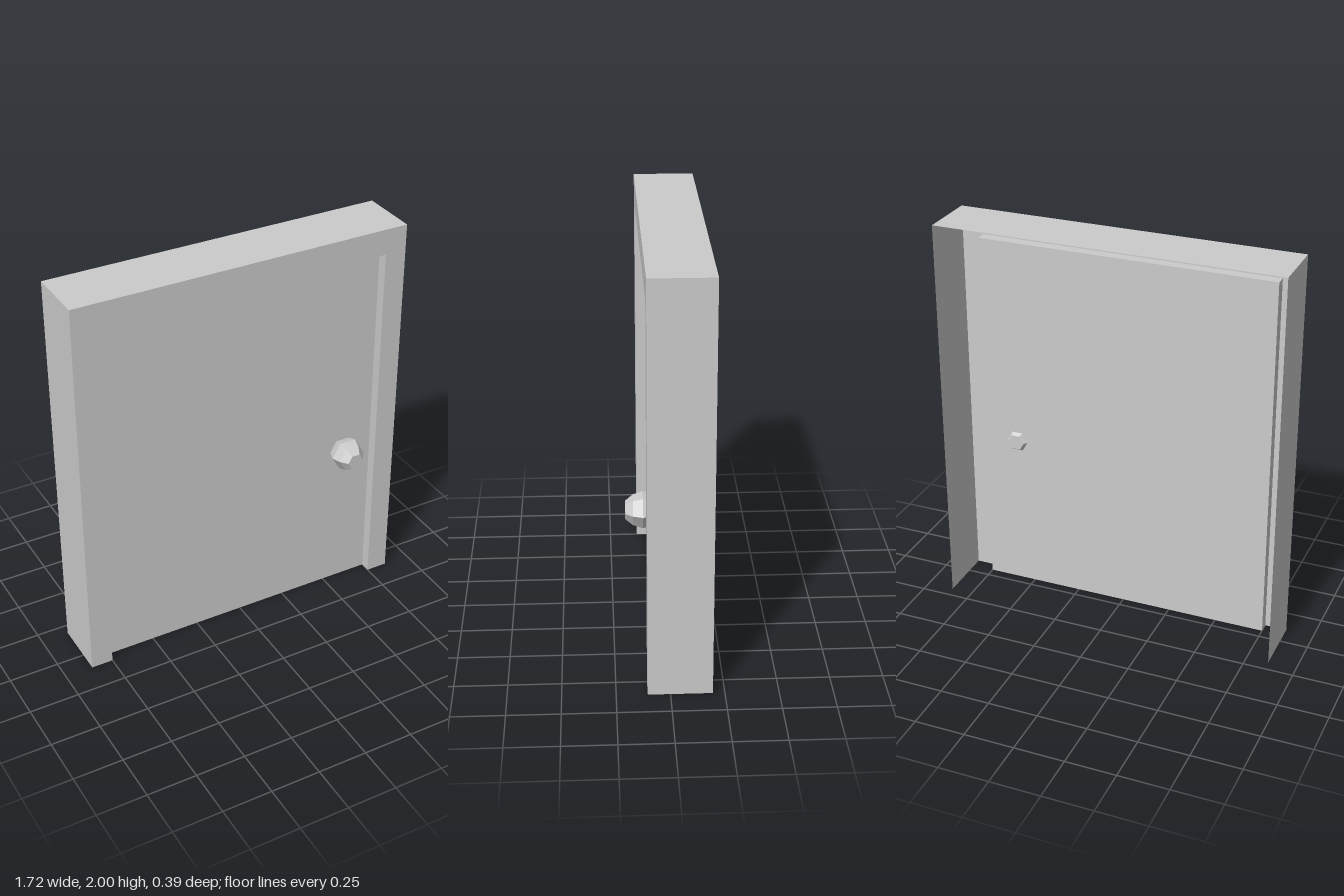
import * as THREE from 'three';

const W = 0.86, H = 2, FRONT = 0.105, BACK = -0.195; // outer casing
const w = 0.75, h = 1.87, DOOR_Z = 0.052;            // door opening and recess

const sheet = new THREE.MeshStandardMaterial({ color: 0xcccccc, side: THREE.DoubleSide });
const faceted = new THREE.MeshStandardMaterial({ color: 0xcccccc, flatShading: true });

function add(group, name, geometry, material = sheet) {
  const mesh = new THREE.Mesh(geometry, material);
  mesh.name = name;
  group.add(mesh);
  return mesh;
}

// Two sides and a top, as thin sheets running from z0 (rear) to z1 (front);
// facing = 1 turns them outward, -1 inward
function addHood(group, name, halfWidth, height, z0, z1, facing) {
  const depth = z1 - z0, z = (z0 + z1) / 2;
  for (const s of [-1, 1]) {
    const side = add(group, name + (s > 0 ? 'Left' : 'Right'), new THREE.PlaneGeometry(depth, height));
    side.rotation.y = s * facing * Math.PI / 2;
    side.position.set(s * halfWidth, height / 2, z);
  }
  const top = add(group, name + 'Top', new THREE.PlaneGeometry(2 * halfWidth, depth));
  top.rotation.x = -facing * Math.PI / 2;
  top.position.set(0, height, z);
}

export function createModel() {
  const model = new THREE.Group();
  model.name = 'door';

  // Frame: flat surround, outer casing open at the back, and shallow reveal
  const frame = new THREE.Group();
  frame.name = 'frame';
  const outline = new THREE.Shape([
    [-W, 0], [-w, 0], [-w, h], [w, h], [w, 0], [W, 0], [W, H], [-W, H],
  ].map(([x, y]) => new THREE.Vector2(x, y)));
  add(frame, 'surround', new THREE.ShapeGeometry(outline)).position.z = FRONT;
  addHood(frame, 'casing', W, H, BACK, FRONT, 1);
  addHood(frame, 'reveal', w, h, DOOR_Z, FRONT, -1);
  model.add(frame);

  // Recessed door leaf
  add(model, 'doorPanel', new THREE.PlaneGeometry(2 * w, h)).position.set(0, h / 2, DOOR_Z);

  // Six-sided faceted knob, its rear cap just showing through the panel
  const profile = [[0, -0.08], [0.042, -0.08], [0.07, -0.045], [0.085, 0], [0.07, 0.045], [0.042, 0.08], [0, 0.08]]
    .map(([r, y]) => new THREE.Vector2(r, y));
  const knob = add(model, 'knob', new THREE.LatheGeometry(profile, 6, Math.PI / 2), faceted);
  knob.rotation.x = Math.PI / 2;
  knob.position.set(0.578, 0.807, 0.115);

  return model;
}
